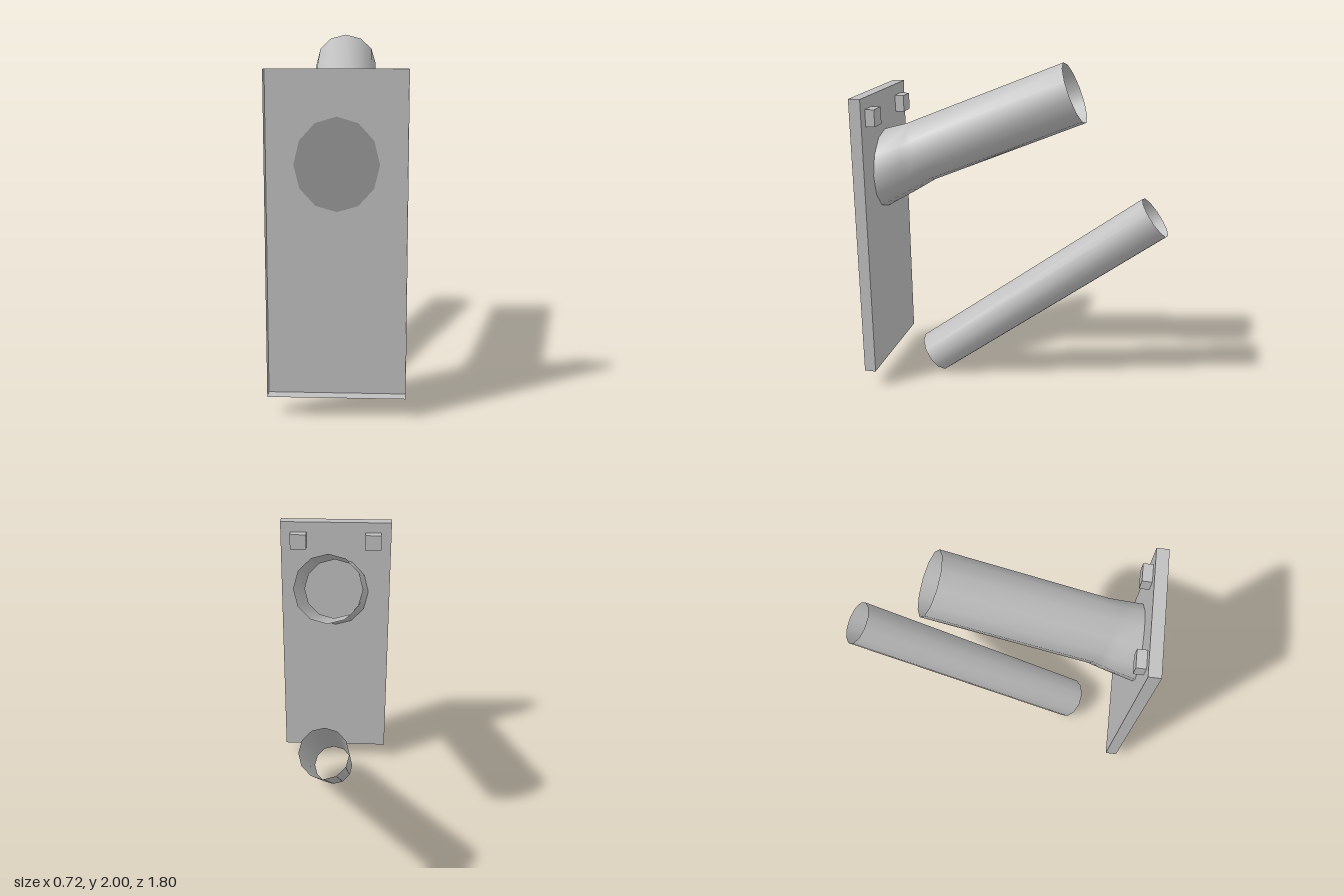
import * as THREE from 'three';

const SIDES = 12;

// Open smooth tube lofted through rings; each ring is
// [z, y of its upper edge, z, y of its lower edge, half width in x]
function loftTube(rings) {
  const pos = [], index = [];
  for (const [zu, yu, zl, yl, rx] of rings) {
    for (let i = 0; i < SIDES; i++) {
      const a = (i / SIDES) * Math.PI * 2, c = Math.cos(a) / 2;
      pos.push(Math.sin(a) * rx, (yu + yl) / 2 + c * (yu - yl), (zu + zl) / 2 + c * (zu - zl));
    }
  }
  for (let r = 0; r < rings.length - 1; r++) {
    for (let i = 0; i < SIDES; i++) {
      const j = (i + 1) % SIDES;
      const a = r * SIDES + i, b = r * SIDES + j, c = a + SIDES, d = b + SIDES;
      index.push(a, c, b, b, c, d);
    }
  }
  const geo = new THREE.BufferGeometry();
  geo.setAttribute('position', new THREE.Float32BufferAttribute(pos, 3));
  geo.setIndex(index);
  geo.computeVertexNormals();
  return geo;
}

export function createModel() {
  const model = new THREE.Group();
  const grey = new THREE.MeshStandardMaterial({ color: 0xbfbfbf, side: THREE.DoubleSide });
  grey.name = 'plain grey';

  const add = (name, geo, x = 0, y = 0, z = 0) => {
    const mesh = new THREE.Mesh(geo, grey);
    mesh.name = name;
    mesh.position.set(x, y, z);
    model.add(mesh);
    return mesh;
  };

  // Shallow tray-like plate, open at the front
  const plate = new THREE.BoxGeometry(0.724, 1.7, 0.07);
  const faces = Array.from(plate.index.array);
  faces.splice(24, 6);
  plate.setIndex(faces);
  plate.clearGroups();
  add('mountingPlate', plate, 0, 0.96, 0.865);

  // Upper tube, flaring where it meets the plate
  add('upperTube', loftTube([
    [0.83, 1.572, 0.83, 1.085, 0.22],
    [0.69, 1.61, 0.635, 1.2, 0.2],
    [0.655, 1.625, 0.52, 1.272, 0.19],
    [-0.26, 2.0, -0.4, 1.66, 0.184],
  ]));

  // Closing disc of the upper tube, shaded square to the tube's axis
  const disc = new THREE.CircleGeometry(0.22, SIDES);
  disc.rotateZ(Math.PI / 2);
  disc.scale(1, 1.107, 1);
  const n = disc.attributes.normal;
  for (let i = 0; i < n.count; i++) n.setXYZ(i, 0, -0.38, 0.925);
  add('upperTubeEnd', disc, 0, 1.3285, 0.832);

  // Lower straight tube, open at both ends
  add('lowerTube', loftTube([
    [0.621, 0.219, 0.464, 0.003, 0.133],
    [-0.74, 1.225, -0.9, 1.01, 0.133],
  ]));

  // Small pegs on the back of the plate
  for (const side of [-1, 1]) {
    add(side > 0 ? 'leftPeg' : 'rightPeg',
      new THREE.BoxGeometry(0.105, 0.1, 0.055), side * 0.245, 1.692, 0.8025);
  }
  return model;
}
